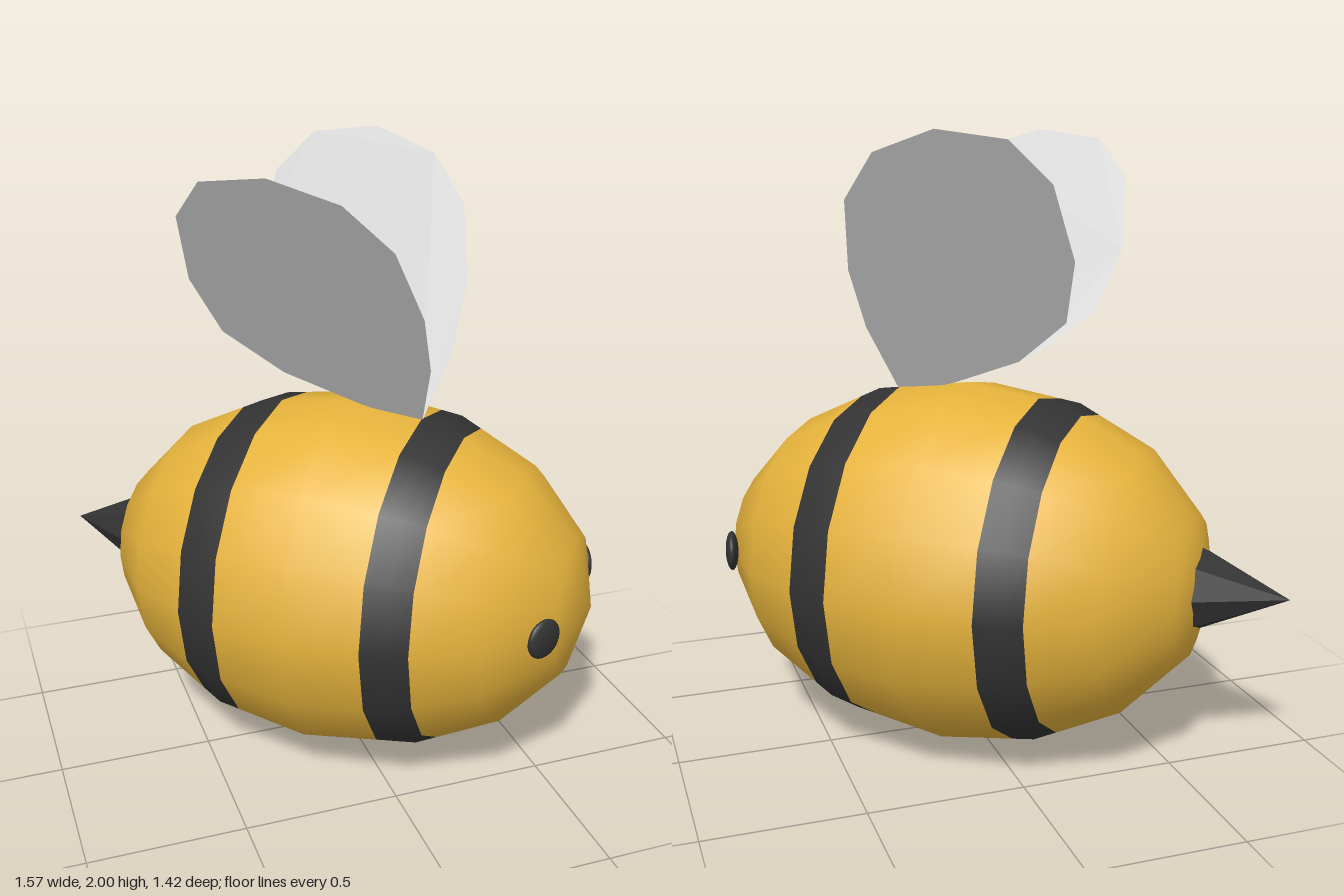
import * as THREE from 'three';

const A = 0.825, R = 0.595; // body half length and radius
const yellow = new THREE.MeshStandardMaterial({ color: 0xe6b33c });
const black = new THREE.MeshStandardMaterial({ color: 0x333333 });
const stinger = new THREE.MeshStandardMaterial({ color: 0x333333, flatShading: true });
const grey = new THREE.MeshStandardMaterial({ color: 0xcccccc, side: THREE.DoubleSide });

// Coarse meridian of the body: 8 steps from tail to nose
const rings = Array.from({ length: 9 }, (_, i) => {
  const t = (i / 8) * Math.PI;
  return new THREE.Vector2(Math.sin(t) * R, -Math.cos(t) * A);
});

// Radius of the faceted meridian at a given position along the body
function radiusAt(u) {
  const i = rings.findIndex((p, k) => k > 0 && p.y >= u);
  const a = rings[i - 1], b = rings[i];
  return a.x + (b.x - a.x) * (u - a.y) / (b.y - a.y);
}

// Slice of the body between two positions, with smooth ellipsoid normals
function slice(name, from, to, material) {
  const pts = rings.filter(p => p.y > from + 1e-4 && p.y < to - 1e-4);
  const end = u => Math.abs(u) >= A ? new THREE.Vector2(0, u) : new THREE.Vector2(radiusAt(u), u);
  const geo = new THREE.LatheGeometry([end(from), ...pts, end(to)], 16);
  const pos = geo.attributes.position, n = new THREE.Vector3();
  for (let i = 0; i < pos.count; i++) {
    n.set(pos.getX(i) / (R * R), pos.getY(i) / (A * A), pos.getZ(i) / (R * R)).normalize();
    geo.attributes.normal.setXYZ(i, n.x, n.y, n.z);
  }
  geo.rotateZ(-Math.PI / 2);
  return part(name, geo, material);
}

function part(name, geo, material) {
  const mesh = new THREE.Mesh(geo, material);
  mesh.name = name;
  return mesh;
}

export function createModel() {
  const model = new THREE.Group();
  model.name = 'bee';
  // Local +x runs from tail to nose
  const bee = new THREE.Group();
  bee.name = 'beeParts';
  bee.rotation.y = -0.709;
  bee.position.set(0.02, R, -0.005);
  model.add(bee);

  // Body with two dark stripes
  bee.add(
    slice('tailSection', -A, -0.385, yellow),
    slice('rearStripe', -0.385, -0.243, black),
    slice('middleSection', -0.243, 0.243, yellow),
    slice('frontStripe', 0.243, 0.385, black),
    slice('headSection', 0.385, A, yellow)
  );

  // Stinger
  const coneGeo = new THREE.ConeGeometry(0.143, 0.295, 8);
  coneGeo.rotateZ(Math.PI / 2);
  const sting = part('stinger', coneGeo, stinger);
  sting.position.x = -1.063 + 0.1475;
  bee.add(sting);

  // Wing outline in the plane of the wing, starting at its root
  const outline = [
    [0, 0], [0.06, 0.235], [0.07, 0.452], [0.02, 0.704], [-0.11, 0.864], [-0.32, 0.94],
    [-0.536, 0.91], [-0.648, 0.772], [-0.679, 0.521], [-0.624, 0.303], [-0.448, 0.143],
    [-0.214, 0.04], [-0.143, 0.015]
  ].map(([x, y]) => new THREE.Vector2(x, y));
  const wingGeo = new THREE.ShapeGeometry(new THREE.Shape(outline));

  for (const side of [1, -1]) {
    const label = side > 0 ? 'right' : 'left';

    const wing = part(label + 'Wing', wingGeo, grey);
    wing.position.set(0.247, 0.56, 0.003 * side);
    wing.rotation.x = side > 0 ? 0.506 : -0.463;
    bee.add(wing);

    // Flattened eye lying on the face
    const eye = part(label + 'Eye', new THREE.SphereGeometry(1, 24, 16), black);
    eye.scale.set(0.021, 0.065, 0.065);
    eye.position.set(0.738, 0.015, 0.28 * side);
    eye.rotation.y = -0.54 * side;
    bee.add(eye);
  }
  return model;
}
